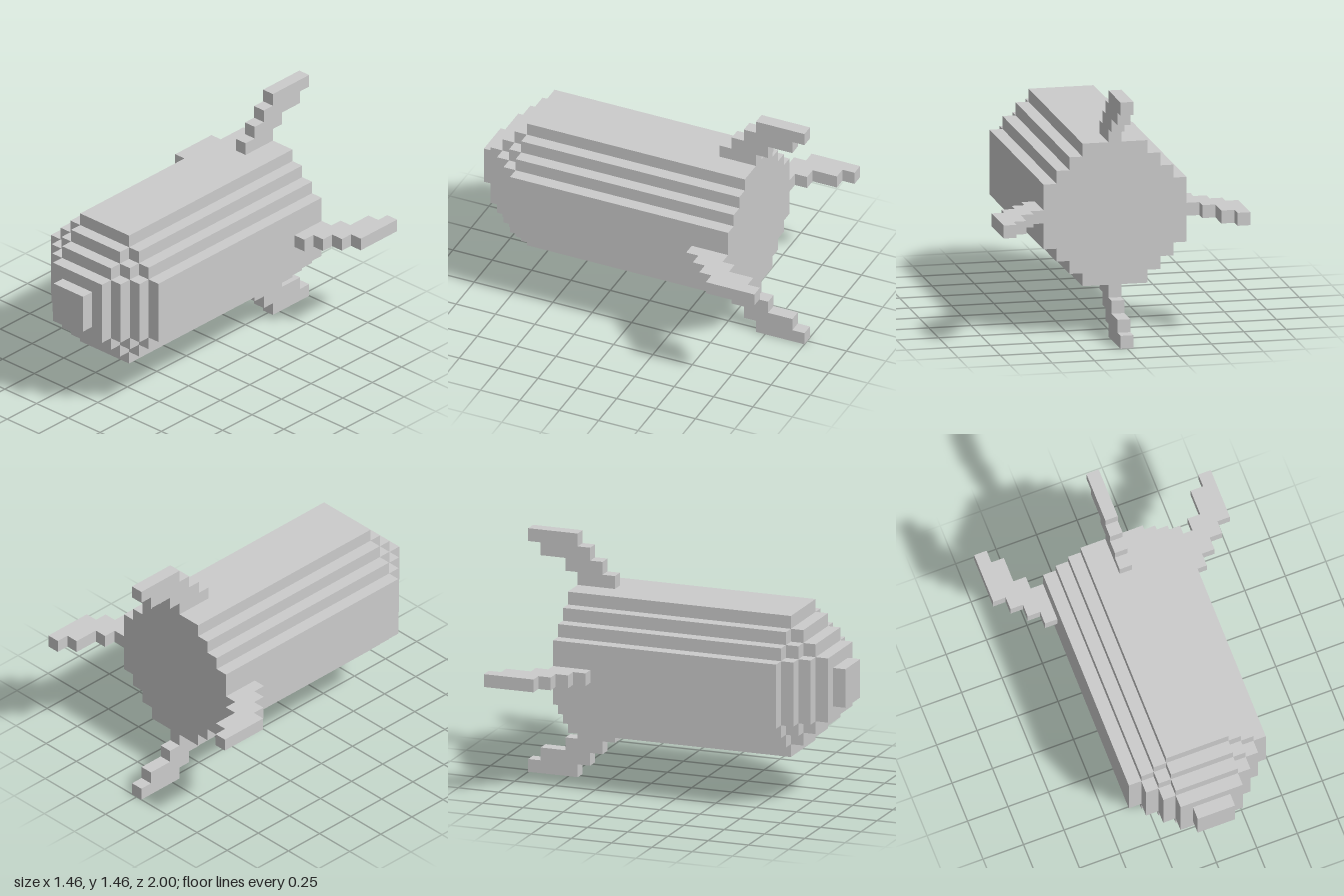
import * as THREE from 'three';

const U = 1 / 13;        // edge of one block
const CENTRE_Y = 9.5;    // height of the long axis, in blocks

const material = new THREE.MeshStandardMaterial({ color: 0xcccccc, flatShading: true });

// Stepped round section: flats of half-width `inner`, reaching `outer` from the axis
function steppedSection(inner, outer) {
  const points = [];
  for (let quarter = 0; quarter < 4; quarter++) {
    const c = [1, 0, -1, 0][quarter], s = [0, 1, 0, -1][quarter];
    const add = (x, y) => points.push(new THREE.Vector2(c * x - s * y, s * x + c * y));
    for (let x = outer, y = inner; x >= inner; x--, y++) {
      add(x, y);
      if (x > inner) add(x - 1, y);
    }
  }
  return new THREE.Shape(points);
}

function extrude(shape, depth) {
  return new THREE.ExtrudeGeometry(shape, { depth, bevelEnabled: false });
}

// One slice of the body between two z positions
function slice(name, inner, outer, z0, z1) {
  const mesh = new THREE.Mesh(extrude(steppedSection(inner, outer), z1 - z0), material);
  mesh.name = name;
  mesh.position.z = z0;
  return mesh;
}

// Swept-back fin: each row is [front z, back z], going outward from the body
function finGeometry() {
  const rows = [[-6, -9], [-7, -10], [-8, -12], [-9, -13]];
  const front = [], back = [];
  rows.forEach(([f, b], i) => {
    const y = 5.5 + i;
    front.push(new THREE.Vector2(-f, y), new THREE.Vector2(-f, y + 1));
    back.push(new THREE.Vector2(-b, y), new THREE.Vector2(-b, y + 1));
  });
  const shape = new THREE.Shape([...front, ...back.reverse()]);
  // shape x runs backwards along z, thickness runs across x
  return extrude(shape, 1).translate(0, 0, -0.5).rotateY(Math.PI / 2);
}

export function createModel() {
  const model = new THREE.Group();
  model.name = 'finnedBody';

  const blocks = new THREE.Group();
  blocks.name = 'blocks';
  blocks.scale.setScalar(U);
  blocks.position.y = CENTRE_Y * U;
  model.add(blocks);

  // Body and the stepped taper at its front
  blocks.add(slice('body', 2.5, 5.5, -9, 9));
  for (let i = 0; i < 3; i++) {
    blocks.add(slice('noseStep' + (i + 1), 2.5, 4.5 - i, 9 + i, 10 + i));
  }
  blocks.add(slice('noseTip', 1.5, 1.5, 12, 13));

  // Four fins around the rear
  const fin = finGeometry();
  ['topFin', 'rightFin', 'bottomFin', 'leftFin'].forEach((name, i) => {
    const mesh = new THREE.Mesh(fin, material);
    mesh.name = name;
    mesh.rotation.z = i * Math.PI / 2;
    blocks.add(mesh);
  });

  return model;
}
